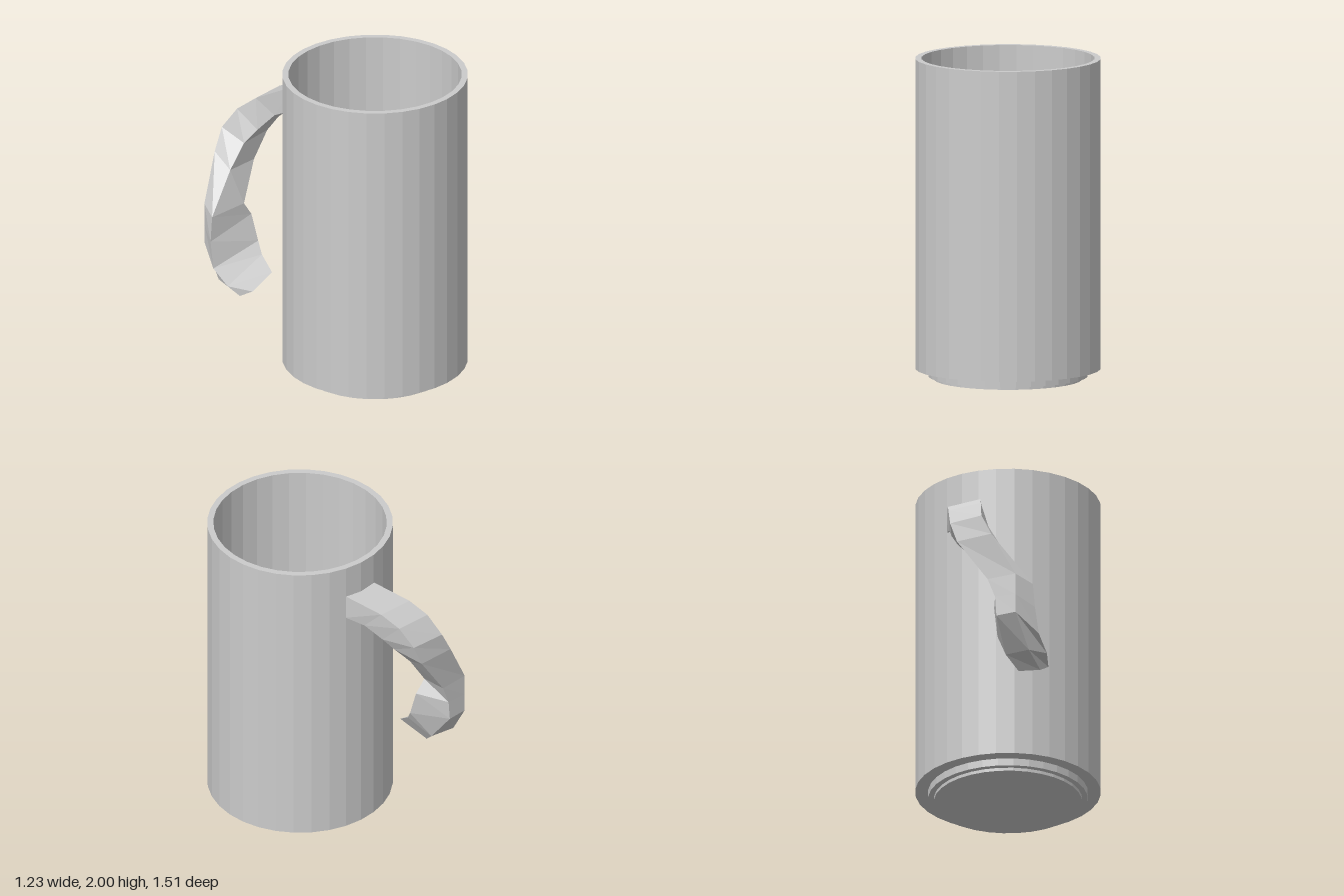
import * as THREE from 'three';

const material = new THREE.MeshStandardMaterial({ color: 0xcccccc, flatShading: true });

// Solid skin over a row of four-cornered cross-sections, closed at both ends.
function loftSections(sections) {
  const positions = [];
  const quad = (a, b, c, d) => positions.push(...a, ...b, ...c, ...a, ...c, ...d);
  for (let i = 0; i < sections.length - 1; i++) {
    for (let j = 0; j < 4; j++) {
      const k = (j + 1) % 4;
      quad(sections[i][j], sections[i + 1][j], sections[i + 1][k], sections[i][k]);
    }
  }
  const [a, b, c, d] = sections[0];
  quad(a, b, c, d);
  const [e, f, g, h] = sections[sections.length - 1];
  quad(h, g, f, e);
  const geometry = new THREE.BufferGeometry();
  geometry.setAttribute('position', new THREE.Float32BufferAttribute(positions, 3));
  geometry.computeVertexNormals();
  return geometry;
}

export function createModel() {
  const group = new THREE.Group();

  // Hollow cup with a stepped foot
  const profile = [
    [0, 0], [0.458, 0], [0.458, 0.02], [0.493, 0.02], [0.493, 0.067],
    [0.573, 0.067], [0.573, 2], [0.535, 2], [0.535, 0.1], [0, 0.1],
  ].map(([r, y]) => new THREE.Vector2(r, y));
  const cup = new THREE.Mesh(new THREE.LatheGeometry(profile, 32), material);
  cup.name = 'cup';
  cup.position.set(0.037, 0, 0.185);
  group.add(cup);

  // Twisted handle with a free lower end.
  // Corners per section: outer right, outer left, inner left, inner right
  const handle = new THREE.Mesh(loftSections([
    [[0.15, 1.79, -0.375], [-0.08, 1.79, -0.375], [-0.08, 1.63, -0.375], [0.15, 1.63, -0.375]],
    [[0.03, 1.70, -0.57], [-0.20, 1.70, -0.57], [-0.14, 1.59, -0.47], [0.08, 1.59, -0.47]],
    [[-0.03, 1.62, -0.67], [-0.26, 1.62, -0.67], [-0.22, 1.50, -0.54], [0.01, 1.50, -0.56]],
    [[-0.085, 1.49, -0.745], [-0.31, 1.49, -0.75], [-0.29, 1.42, -0.59], [-0.05, 1.42, -0.60]],
    [[-0.14, 1.35, -0.755], [-0.38, 1.35, -0.75], [-0.40, 1.27, -0.61], [-0.18, 1.27, -0.60]],
    [[-0.34, 1.06, -0.725], [-0.53, 1.06, -0.71], [-0.59, 1.02, -0.60], [-0.34, 1.04, -0.55]],
    [[-0.39, 0.93, -0.72], [-0.53, 0.92, -0.71], [-0.605, 0.86, -0.60], [-0.28, 0.95, -0.54]],
    [[-0.40, 0.80, -0.72], [-0.53, 0.80, -0.71], [-0.615, 0.69, -0.57], [-0.275, 0.78, -0.49]],
    [[-0.38, 0.60, -0.57], [-0.55, 0.59, -0.58], [-0.61, 0.60, -0.46], [-0.30, 0.71, -0.44]],
    [[-0.42, 0.515, -0.48], [-0.54, 0.52, -0.42], [-0.54, 0.58, -0.32], [-0.33, 0.63, -0.335]],
  ]), material);
  handle.name = 'handle';
  group.add(handle);

  return group;
}
